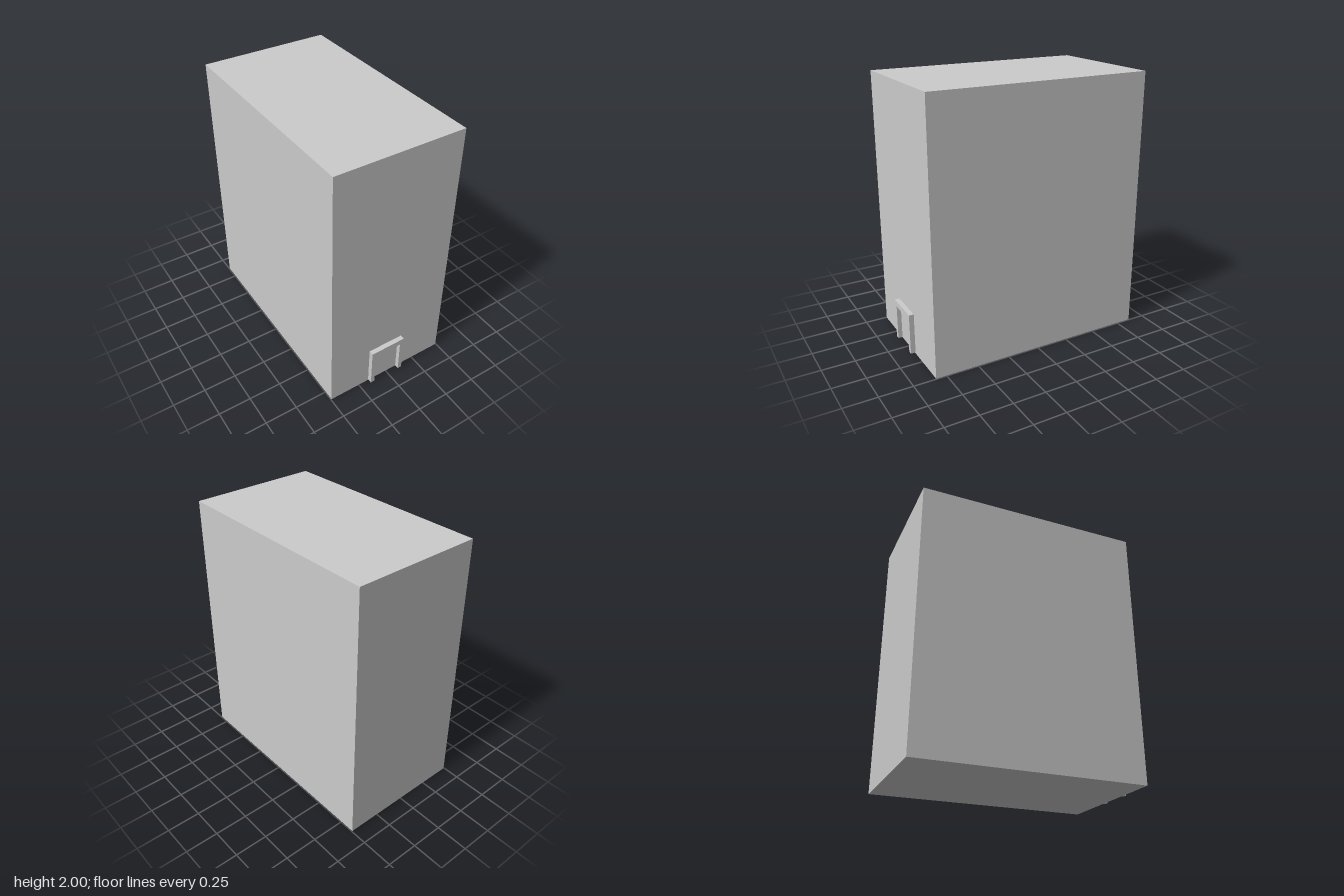
import * as THREE from 'three';

export function createModel() {
  const model = new THREE.Group();
  const material = new THREE.MeshStandardMaterial({ color: 0xcccccc, flatShading: true });

  const add = (name, geometry, x, y, z) => {
    const mesh = new THREE.Mesh(geometry, material);
    mesh.name = name;
    mesh.position.set(x, y, z);
    model.add(mesh);
  };

  const back = -0.867, wall = 0.83, front = 0.867; // z of rear wall, front wall and frame face
  const doorX = -0.021, base = 0.008;              // doorway centre and foot of the frame

  // Main block
  add('buildingBlock', new THREE.BoxGeometry(0.99, 2, wall - back), 0, 1, (wall + back) / 2);

  // Door surround: an upside-down U standing proud of the wall
  const outer = 0.143, inner = 0.111, top = 0.325, lintel = 0.28;
  const outline = new THREE.Shape([
    [-outer, base], [-inner, base], [-inner, lintel], [inner, lintel],
    [inner, base], [outer, base], [outer, top], [-outer, top],
  ].map(([x, y]) => new THREE.Vector2(x, y)));
  const frame = new THREE.ExtrudeGeometry(outline, { depth: front - wall, bevelEnabled: false });
  add('doorFrame', frame, doorX, 0, wall);

  // Thin door leaf, nearly flush with the wall
  add('door', new THREE.BoxGeometry(inner * 2, lintel - base, 0.004),
    doorX, (lintel + base) / 2, wall + 0.002);

  return model;
}
